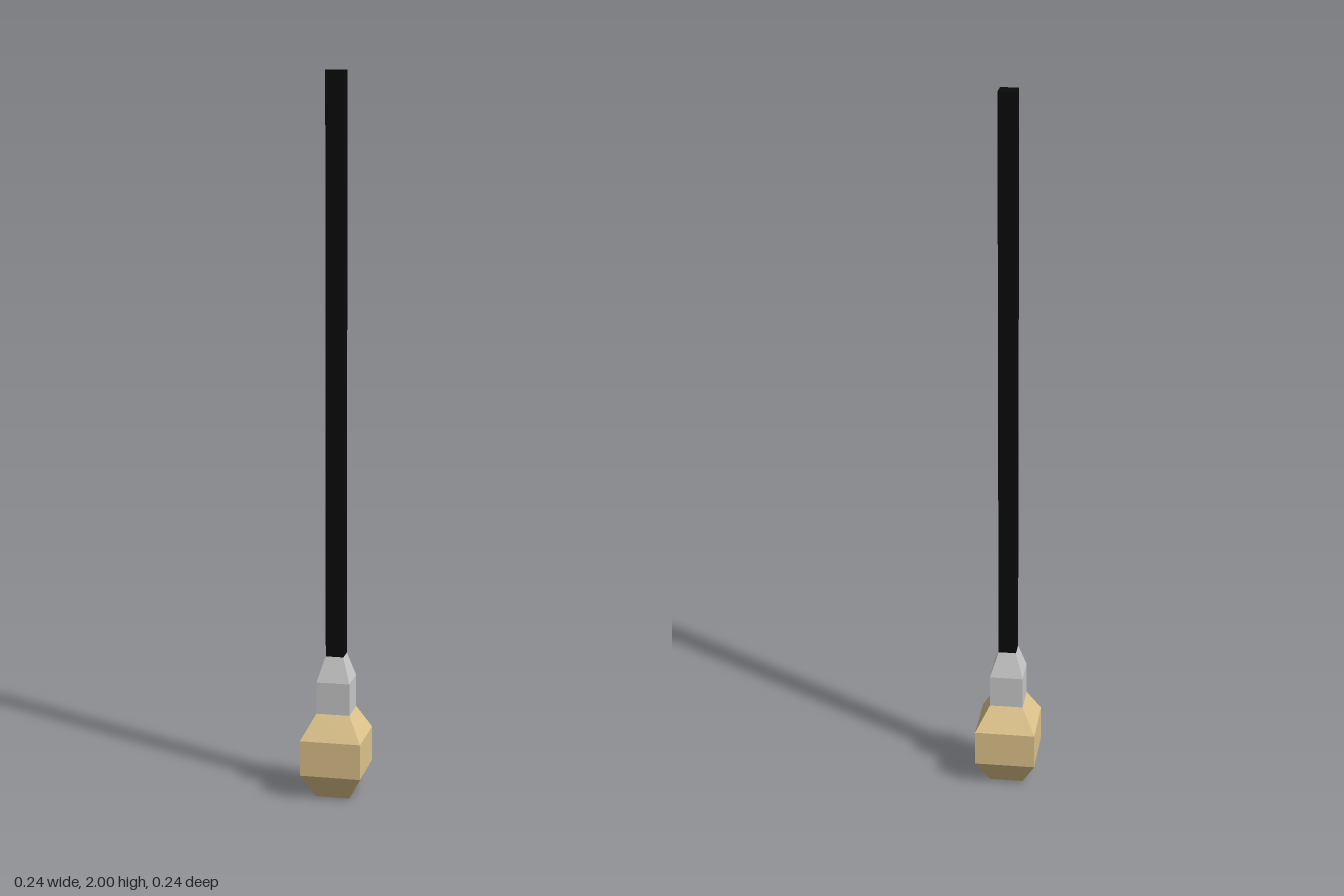
import * as THREE from 'three';

const material = (color) => new THREE.MeshStandardMaterial({ color, flatShading: true });

export function createModel() {
  const group = new THREE.Group();
  const black = material(0x0a0a0a);

  const add = (name, geometry, mat) => {
    const mesh = new THREE.Mesh(geometry, mat);
    mesh.name = name;
    group.add(mesh);
    return mesh;
  };

  // Four-sided turned shape from [radius, height] pairs, bottom to top
  const turned = (profile) =>
    new THREE.LatheGeometry(profile.map(([r, y]) => new THREE.Vector2(r, y)), 4);

  // Bulb with bevelled shoulders
  add('bulb', turned([[0.067, 0], [0.12, 0.07], [0.12, 0.17], [0.066, 0.24]]), material(0xe2c68d));

  // Dark plate closing the underside of the bulb
  add('bulbBase', new THREE.CircleGeometry(0.067, 4).rotateX(Math.PI / 2), black);

  // Socket tapering into the cord
  add('socket', turned([[0.066, 0.24], [0.066, 0.33], [0.035, 0.4]]), material(0xcccccc));

  // Long straight cord, closed at the top
  add('cord', turned([[0.035, 0.4], [0.035, 2], [0, 2]]), black);

  return group;
}
